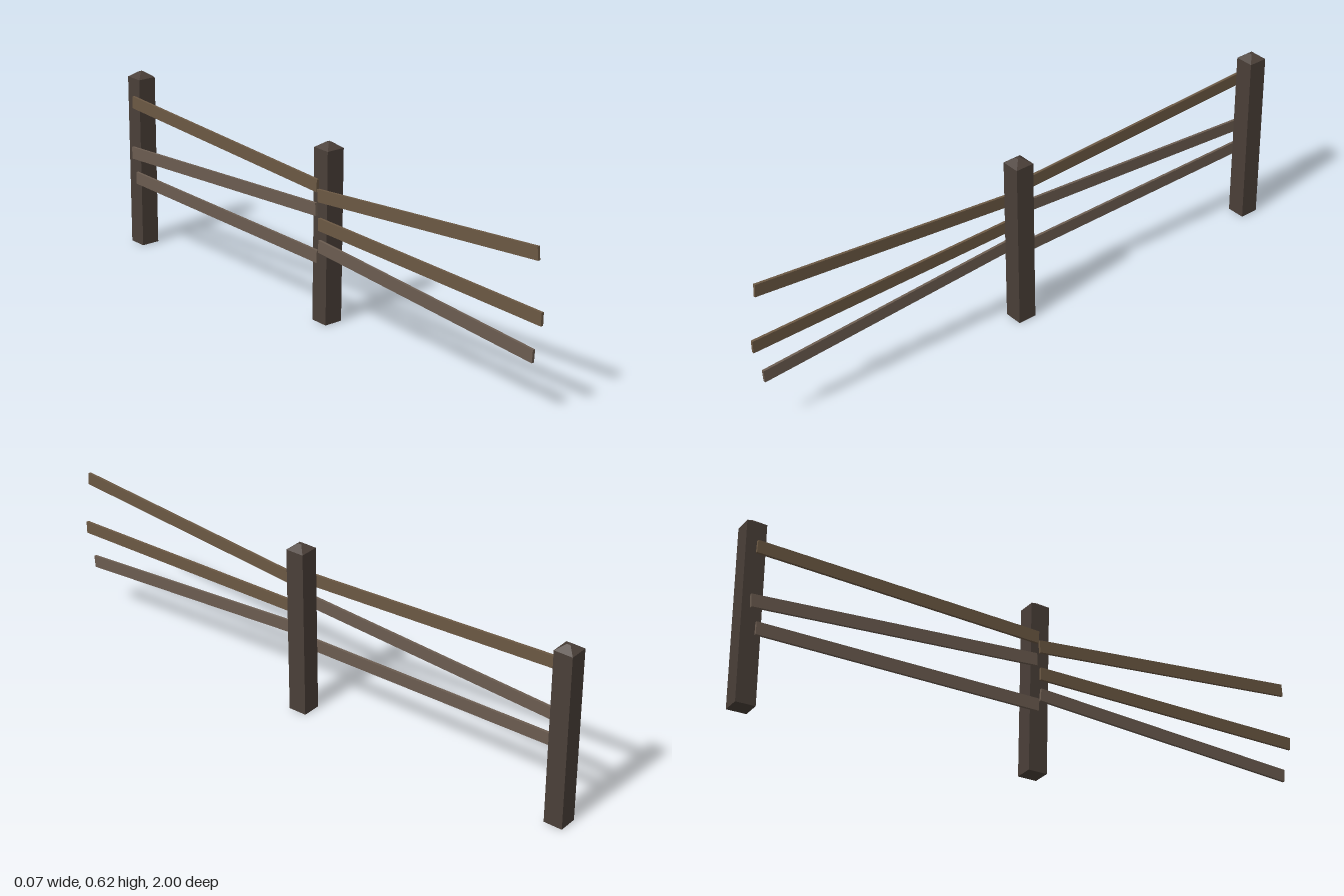
import * as THREE from 'three';

const material = (color) => new THREE.MeshStandardMaterial({ color, flatShading: true });

// Square post with a blunt pyramid cap, leaning slightly along z
function makePost(name, z, eaves, lean, mat) {
  const half = 0.0325, tip = 0.006, capHeight = 0.019;
  const profile = [[0, 0], [half, 0], [half, eaves], [tip, eaves + capHeight], [0, eaves + capHeight]]
    .map(([r, y]) => new THREE.Vector2(r * Math.SQRT2, y));
  const post = new THREE.Mesh(new THREE.LatheGeometry(profile, 4, Math.PI / 4), mat);
  post.name = name;
  post.position.set(0.0035, 0, z);
  post.rotation.x = lean;
  return post;
}

// Thin plank between two points (z, y) on the side of the posts
function makeRail(name, [z0, y0], [z1, y1], mat) {
  const length = Math.hypot(z1 - z0, y1 - y0);
  const rail = new THREE.Mesh(new THREE.BoxGeometry(0.009, 0.042, length), mat);
  rail.name = name;
  rail.position.set(-0.0335, (y0 + y1) / 2, (z0 + z1) / 2);
  rail.rotation.x = -Math.atan2(y1 - y0, z1 - z0);
  return rail;
}

export function createModel() {
  const group = new THREE.Group();
  group.name = 'fence';
  const postWood = material(0x4a3f38);
  const warmWood = material(0x6b5843);
  const greyWood = material(0x6b5c50);

  // Posts
  group.add(
    makePost('middlePost', 0.018, 0.579, 0.018, postWood),
    makePost('backPost', -0.966, 0.597, 0.007, postWood),
  );

  // Rails: name, start and end as (z, y), wood
  const rails = [
    ['frontTopRail', [0.022, 0.428], [0.978, 0.502], warmWood],
    ['frontMiddleRail', [0.025, 0.334], [1.0, 0.31], warmWood],
    ['frontLowerRail', [0.025, 0.261], [0.97, 0.188], greyWood],
    ['backTopRail', [-0.96, 0.514], [0.018, 0.459], warmWood],
    ['backMiddleRail', [-0.97, 0.331], [0.012, 0.38], greyWood],
    ['backLowerRail', [-0.95, 0.245], [0.018, 0.224], greyWood],
  ];
  for (const rail of rails) group.add(makeRail(...rail));
  return group;
}
